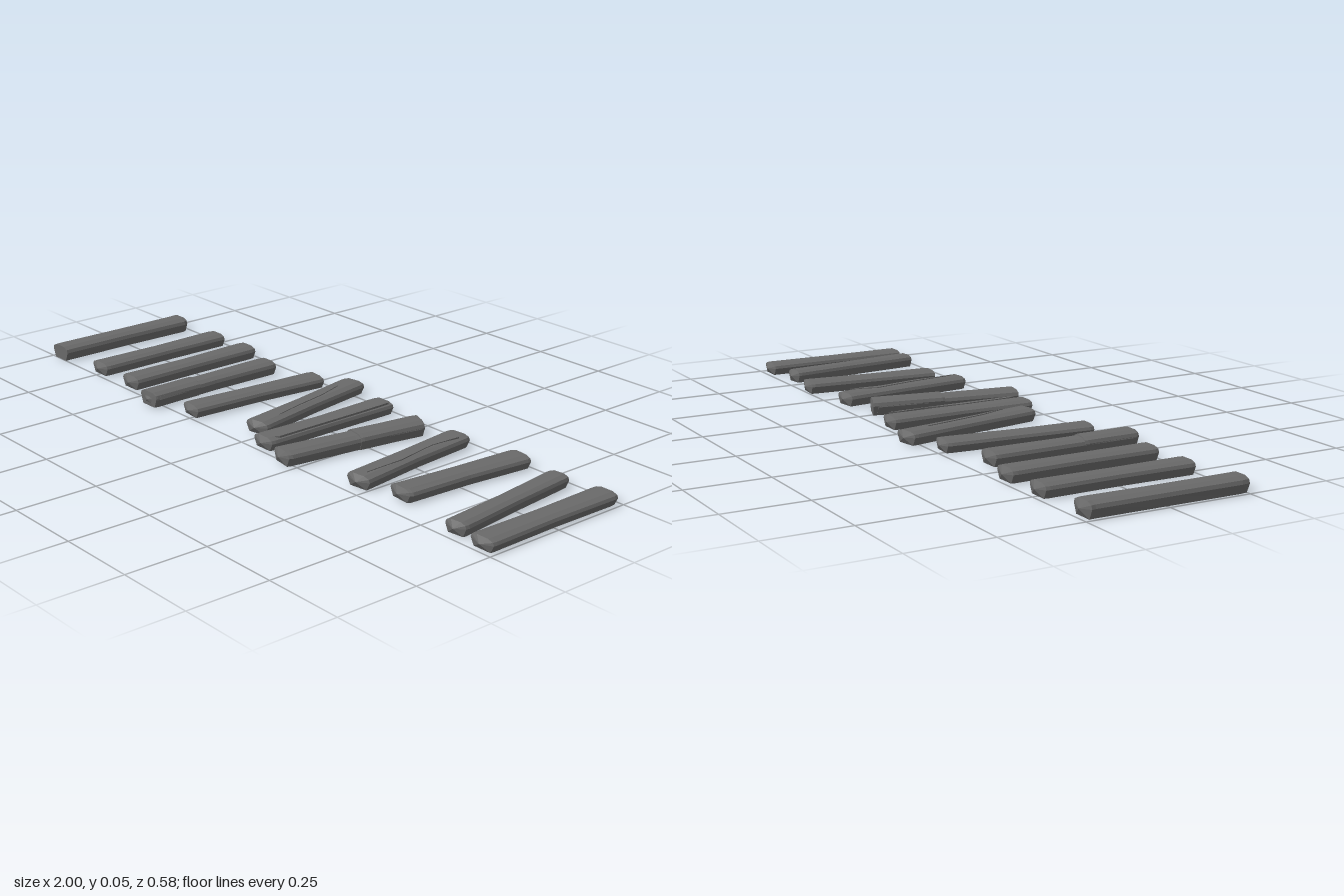
import * as THREE from 'three';

const wood = new THREE.MeshStandardMaterial({ color: 0x696969, flatShading: true });
wood.name = 'weatheredGrey';

// Half cross-section (x as a share of half width, y as a share of height), mirrored below
const HALF = [[0.72, 0], [1, 0.62], [0.9, 0.85], [0.48, 1]];
const SECTION = [...HALF, ...HALF.map(([x, y]) => [-x, y]).reverse()];

let seed = 7;
function jitter(amount) {
  seed = (seed * 16807) % 2147483647;
  return (seed / 2147483647 - 0.5) * 2 * amount;
}

// Rough hewn beam along z: rings joined in a loop, with bulging end caps
function beamGeometry(width, height, z0, z1, { waist = 0.9, bulge0 = 0.012, bulge1 = 0.012, lift = 0, skew = 0 } = {}) {
  const length = z1 - z0;
  const stations = [[0, 0.96], [0.05, 1], [0.5, waist], [0.95, 1], [1, 0.96]];
  const n = SECTION.length;
  const pos = [], index = [];
  stations.forEach(([t, s], i) => {
    const inset = i === 0 ? bulge0 : i === stations.length - 1 ? -bulge1 : 0;
    const wobble = lift ? 0 : jitter(0.002);
    for (const [px, py] of SECTION) {
      const x = px * width / 2 * s + wobble;
      const y = py * height * (py > 0.5 ? 0.9 + s * 0.1 : 1) + (py > 0.5 ? lift : 0);
      pos.push(x, y, z0 + t * length + inset + (i === 0 ? skew * px : 0));
    }
  });
  for (let i = 0; i < stations.length - 1; i++) {
    for (let j = 0; j < n; j++) {
      const k = (j + 1) % n;
      const a = i * n + j, b = i * n + k, c = a + n, d = b + n;
      index.push(a, d, b, a, c, d);
    }
  }
  // SECTION starts at the lower right and runs anticlockwise seen from +z
  for (let i = 0; i < index.length; i += 3) [index[i + 1], index[i + 2]] = [index[i + 2], index[i + 1]];
  const back = pos.length / 3;
  pos.push(0, height * 0.5, z0, 0, height * 0.5, z1);
  const last = (stations.length - 1) * n;
  for (let j = 0; j < n; j++) {
    const k = (j + 1) % n;
    index.push(back, k, j, back + 1, last + j, last + k);
  }
  const g = new THREE.BufferGeometry();
  g.setAttribute('position', new THREE.Float32BufferAttribute(pos, 3));
  g.setIndex(index);
  const flat = g.toNonIndexed();
  flat.computeVertexNormals();
  return flat;
}

function addMesh(parent, name, geometry) {
  const mesh = new THREE.Mesh(geometry, wood);
  mesh.name = name;
  parent.add(mesh);
  return mesh;
}

// Thin raised splinter on the top face, outlined in (x, z)
function addSplinter(parent, outline, height) {
  const shape = new THREE.Shape(outline.map(([x, z]) => new THREE.Vector2(x, -z)));
  const g = new THREE.ExtrudeGeometry(shape, { depth: 0.006, bevelEnabled: false });
  g.rotateX(-Math.PI / 2);
  addMesh(parent, 'splinter', g).position.y = height - 0.004;
}

// Each sleeper: x at back, x at front, back z, front z, width, height, extras
const SLEEPERS = [
  [-0.957, -0.957, -0.245, 0.25, 0.086, 0.045, { bulge1: 0, waist: 0.95 }],
  [-0.75, -0.75, -0.245, 0.245, 0.084, 0.040, {}],
  [-0.588, -0.58, -0.245, 0.245, 0.086, 0.041, {}],
  [-0.425, -0.418, -0.20, 0.287, 0.085, 0.042, { slab: [0.06, 0.245] }],
  [-0.232, -0.27, -0.24, 0.245, 0.086, 0.036, {}],
  [-0.115, -0.025, -0.293, 0.188, 0.086, 0.039,
    { splinter: [[0.0, -0.15], [0.012, -0.06], [0.014, 0.05], [0.02, 0.15], [0.005, 0.06], [0.002, -0.05]] }],
  [0.078, 0.078, -0.245, 0.243, 0.086, 0.038,
    { splinter: [[0.032, -0.22], [0.024, -0.18], [0.03, -0.1], [0.018, 0.03], [0.024, 0.21], [0.034, 0.2], [0.034, -0.1]] }],
  [0.272, 0.195, -0.203, 0.277, 0.086, 0.043, { slab: [-0.238, -0.01] }],
  [0.41, 0.465, -0.23, 0.225, 0.086, 0.039,
    { splinter: [[0.03, -0.18], [-0.004, -0.1], [0.008, 0.04], [0.008, 0.19], [0.02, 0.06], [0.012, -0.08]] }],
  [0.635, 0.595, -0.255, 0.192, 0.088, 0.038, {}],
  [0.798, 0.85, -0.23, 0.235, 0.072, 0.039, {}],
  [0.955, 0.955, -0.245, 0.245, 0.086, 0.036, {}],
];

export function createModel() {
  const model = new THREE.Group();
  model.name = 'sleeperRow';
  SLEEPERS.forEach(([xBack, xFront, zBack, zFront, width, height, extra], i) => {
    const sleeper = new THREE.Group();
    sleeper.name = `sleeper${i + 1}`;
    sleeper.position.set((xBack + xFront) / 2, 0, (zBack + zFront) / 2);
    sleeper.rotation.y = Math.atan2(xFront - xBack, zFront - zBack);
    const half = (zFront - zBack) / 2;
    addMesh(sleeper, 'beam', beamGeometry(width, height, -half, half, extra));
    // Upper layer of split wood covering part of the beam
    if (extra.slab) {
      const [s0, s1] = extra.slab;
      addMesh(sleeper, 'splitLayer', beamGeometry(width * 0.98, height, s0, Math.min(s1, half - 0.004),
        { waist: 0.97, bulge0: 0.003, bulge1: 0.003, lift: 0.003, skew: 0.008 }));
    }
    if (extra.splinter) addSplinter(sleeper, extra.splinter, height);
    model.add(sleeper);
  });
  return model;
}
